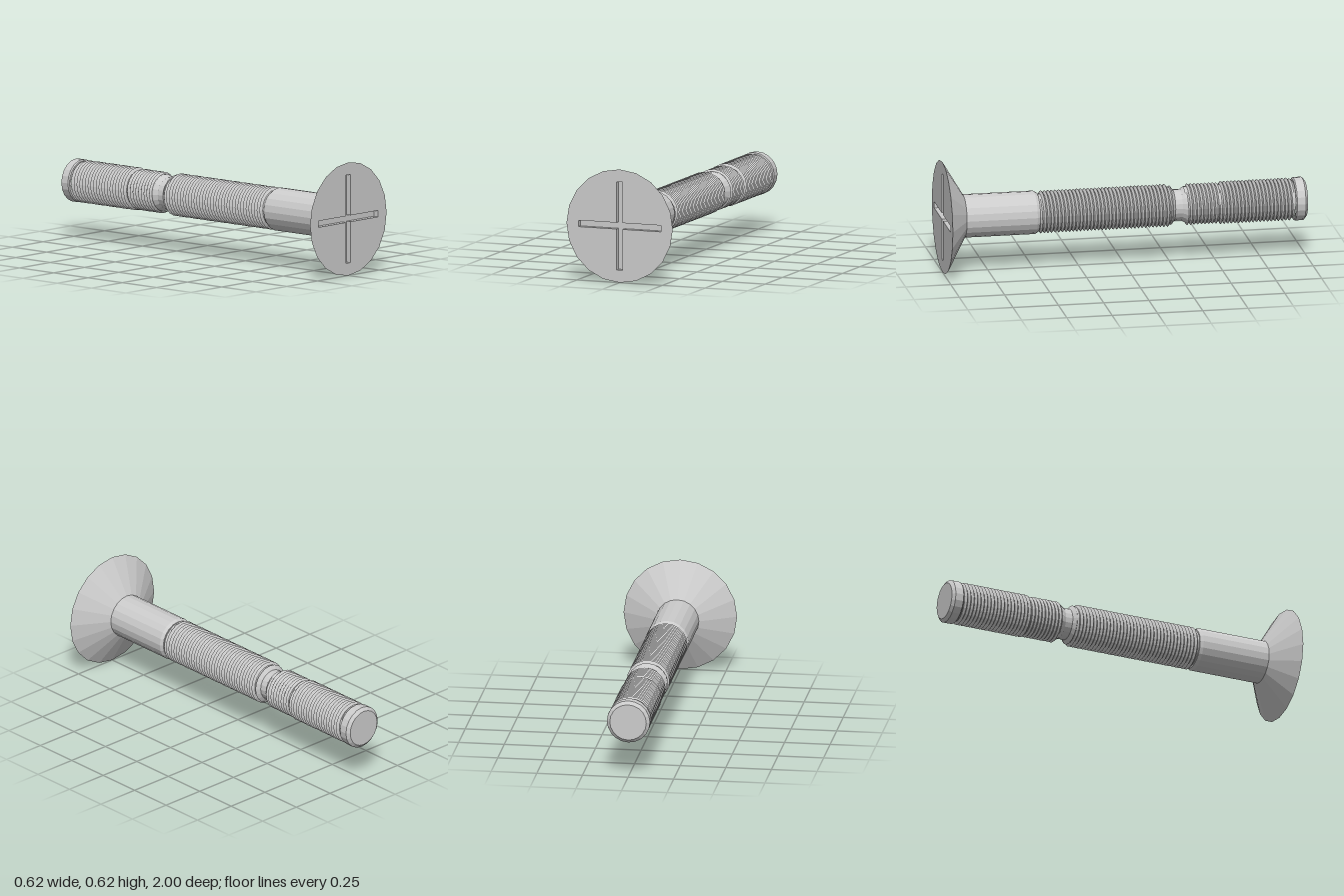
import * as THREE from 'three';

const SIDES = 20, HEAD_R = 0.311, SLOT_DEPTH = 0.03, ROOT_R = 0.102;
const material = new THREE.MeshStandardMaterial({ color: 0xcccccc, flatShading: true });

function addMesh(parent, name, geometry) {
  const mesh = new THREE.Mesh(geometry, material);
  mesh.name = name;
  parent.add(mesh);
  return mesh;
}

// Turned part along z; profile is [radius, z] pairs from back to front
function turned(profile) {
  const points = profile.map(([r, z]) => new THREE.Vector2(r, z));
  return new THREE.LatheGeometry(points, SIDES).rotateX(Math.PI / 2);
}

// Outline of the cross slot, counter-clockwise
function crossPoints(half, reach) {
  const points = [];
  for (let i = 0; i < 4; i++) {
    for (const [x, y] of [[reach, -half], [reach, half], [half, half]]) {
      points.push(new THREE.Vector2(x, y).rotateAround(new THREE.Vector2(), i * Math.PI / 2));
    }
  }
  return points;
}

// Walls of a recess running back from z = front, facing inwards
function recessWalls(points, front, depth) {
  const pos = [];
  points.forEach((a, i) => {
    const b = points[(i + 1) % points.length], back = front - depth;
    pos.push(a.x, a.y, front, b.x, b.y, back, a.x, a.y, back);
    pos.push(a.x, a.y, front, b.x, b.y, front, b.x, b.y, back);
  });
  const geometry = new THREE.BufferGeometry();
  geometry.setAttribute('position', new THREE.Float32BufferAttribute(pos, 3));
  geometry.computeVertexNormals();
  return geometry;
}

// Right-handed V thread wound from zFront back to zBack
function thread(zFront, zBack, crestR, pitch = 0.02) {
  const turns = (zFront - zBack) / pitch;
  const steps = Math.round((turns - 1) * SIDES);
  const pos = [], index = [];
  for (let i = 0; i <= steps; i++) {
    const angle = i / SIDES * Math.PI * 2;
    const z = zFront - i / SIDES * pitch;
    const fade = Math.min(1, i / 8, (steps - i) / 8);
    const crest = ROOT_R + (crestR - ROOT_R) * fade;
    [[ROOT_R, 0], [crest, 0.5], [ROOT_R, 1]].forEach(([r, t]) => {
      pos.push(r * Math.sin(angle), r * Math.cos(angle), z - t * pitch);
    });
    if (i === steps) continue;
    for (let j = 0; j < 2; j++) {
      const a = i * 3 + j, b = a + 3;
      index.push(a, b, a + 1, b, b + 1, a + 1);
    }
  }
  const geometry = new THREE.BufferGeometry();
  geometry.setAttribute('position', new THREE.Float32BufferAttribute(pos, 3));
  geometry.setIndex(index);
  geometry.computeVertexNormals();
  return geometry;
}

export function createModel() {
  const bolt = new THREE.Group();
  bolt.name = 'countersunkBolt';

  // Countersunk head: cone, slotted face and cross recess
  const head = new THREE.Group();
  head.name = 'head';
  addMesh(head, 'headCone', turned([[0.118, 0.885], [HEAD_R, 1]]));
  const rim = [];
  for (let i = 0; i < SIDES; i++) {
    const a = i / SIDES * Math.PI * 2;
    rim.push(new THREE.Vector2(HEAD_R * Math.cos(a), HEAD_R * Math.sin(a)));
  }
  const cross = crossPoints(0.0175, 0.242);
  const face = new THREE.Shape(rim);
  face.holes.push(new THREE.Path(cross));
  addMesh(head, 'headFace', new THREE.ShapeGeometry(face)).position.z = 1;
  addMesh(head, 'slotWalls', recessWalls(cross, 1, SLOT_DEPTH));
  addMesh(head, 'slotFloor', new THREE.ShapeGeometry(new THREE.Shape(cross))).position.z = 1 - SLOT_DEPTH;
  bolt.add(head);

  // Plain shank with a small chamfer
  addMesh(bolt, 'shank', turned([[0.1, 0.478], [0.108, 0.478], [0.118, 0.495], [0.118, 0.885]]));

  // Threaded rod core with the waisted neck
  addMesh(bolt, 'rodCore', turned([
    [0.1, -0.93], [0.1, -0.335], [0.086, -0.312], [0.086, -0.272],
    [0.108, -0.255], [0.1, -0.25], [0.1, 0.48],
  ]));

  // Front thread, then the rear thread in two slightly different diameters
  [['frontThread', 0.482, -0.258, 0.117],
   ['neckThread', -0.325, -0.53, 0.113],
   ['rearThread', -0.51, -0.935, 0.117],
  ].forEach(([name, front, back, r]) => addMesh(bolt, name, thread(front, back, r)));

  // Chamfered end cap
  addMesh(bolt, 'endCap', turned([
    [0, -1], [0.1, -1], [0.118, -0.985], [0.118, -0.938], [0.112, -0.932], [0.1, -0.932],
  ]));

  bolt.position.y = HEAD_R;
  const model = new THREE.Group();
  model.add(bolt);
  return model;
}
